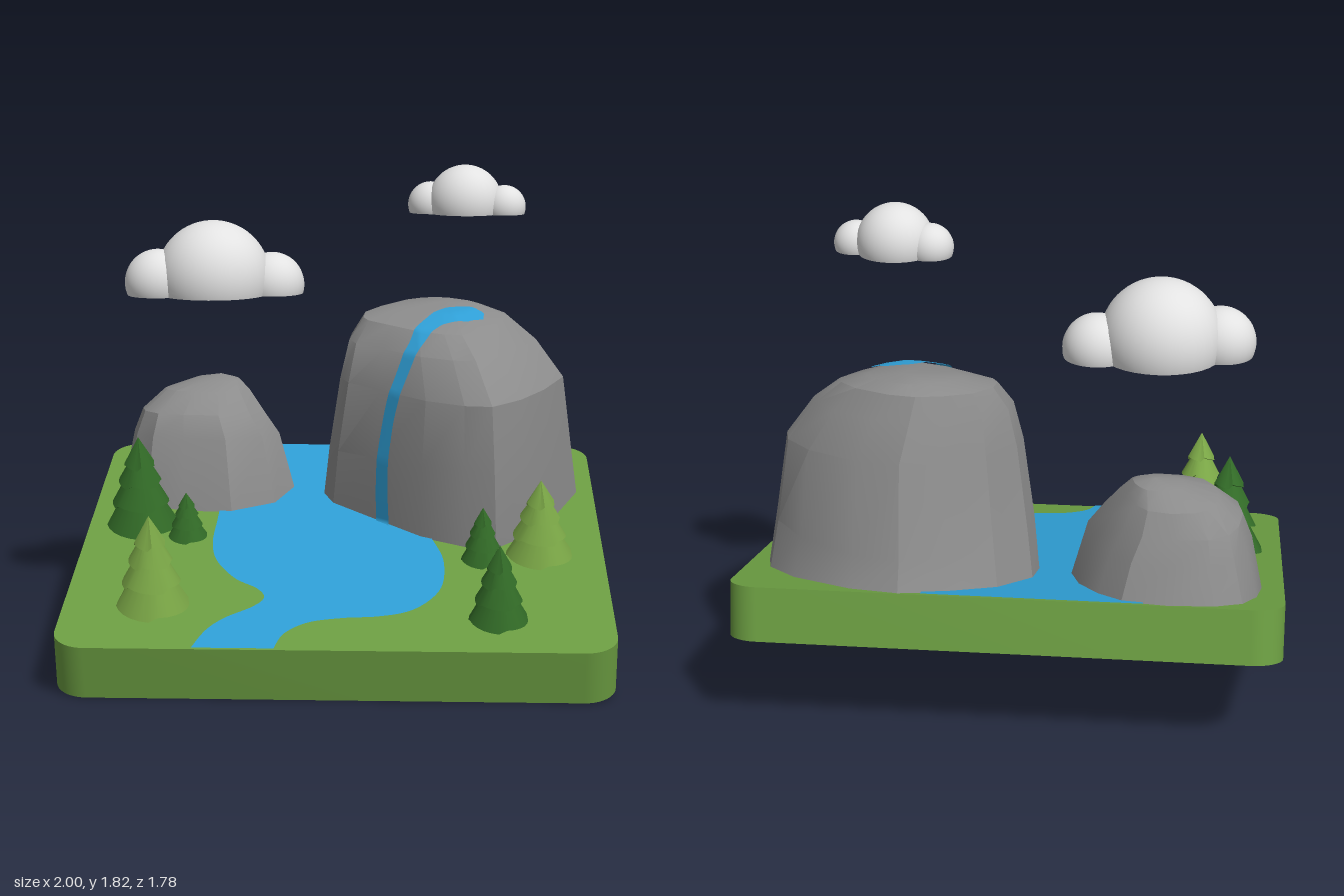
import * as THREE from 'three';
import { toCreasedNormals } from 'three/addons/utils/BufferGeometryUtils.js';

const TILT = 0.216;
const ground = z => 0.395 - z * Math.tan(TILT);
const mat = (name, color, side = THREE.FrontSide) => {
  const m = new THREE.MeshStandardMaterial({ color, side });
  m.name = name;
  return m;
};
const M = {
  grass: mat('grass', 0x6c9e42),
  water: mat('water', 0x2f9fd6, THREE.DoubleSide),
  rock: mat('rock grey', 0x8c8c8c),
  cloud: mat('cloud white', 0xe2e2e2),
  dark: mat('dark foliage', 0x326b27),
  light: mat('light foliage', 0x7aa646),
};
function add(parent, name, geo, material, pos = [0, 0, 0]) {
  const m = new THREE.Mesh(geo, material);
  m.name = name;
  m.position.set(...pos);
  parent.add(m);
  return m;
}

// Sloping slab with rounded corners
function addSlab(g) {
  const w = 1, d = 0.887, r = 0.12, s = new THREE.Shape();
  s.absarc(w - r, d - r, r, 0, Math.PI / 2);
  s.absarc(-w + r, d - r, r, Math.PI / 2, Math.PI);
  s.absarc(-w + r, -d + r, r, Math.PI, Math.PI * 1.5);
  s.absarc(w - r, -d + r, r, Math.PI * 1.5, Math.PI * 2);
  const geo = new THREE.ExtrudeGeometry(s, { depth: 0.2, bevelEnabled: false, curveSegments: 8 });
  geo.translate(0, 0, -0.1).rotateX(-Math.PI / 2);
  add(g, 'groundSlab', toCreasedNormals(geo, 0.6), M.grass, [0, 0.292, 0]).rotation.x = TILT;
}

// River lying on the slope
function addRiver(g) {
  const left = [[-0.5, -0.1], [-0.5, 0.08], [-0.47, 0.23], [-0.39, 0.37], [-0.3, 0.45], [-0.27, 0.52],
    [-0.31, 0.59], [-0.4, 0.67], [-0.46, 0.76], [-0.5, 0.885]];
  const right = [[-0.21, 0.885], [-0.18, 0.78], [-0.1, 0.7], [0.02, 0.665], [0.15, 0.65], [0.26, 0.61],
    [0.34, 0.52], [0.385, 0.4], [0.39, 0.22], [0.36, 0.08], [0.3, -0.1]];
  const v = a => a.map(p => new THREE.Vector2(p[0], -p[1]));
  const s = new THREE.Shape();
  s.moveTo(0.29, 0.84);
  s.lineTo(-0.5, 0.84);
  s.lineTo(-0.5, 0.1);
  s.splineThru(v(left.slice(1)));
  s.lineTo(-0.21, -0.885);
  s.splineThru(v(right.slice(1)));
  const geo = new THREE.ShapeGeometry(s, 30).rotateX(-Math.PI / 2);
  const p = geo.attributes.position;
  for (let i = 0; i < p.count; i++) p.setY(i, ground(p.getZ(i)) + 0.004);
  geo.computeVertexNormals();
  add(g, 'river', geo, M.water);
}

// Boulder: one outline fitted to a box [y, x0, x1, z0, z1, slope] at each level
function boulder(outline, levels, peak) {
  const n = outline.length, box = new THREE.Box2().setFromPoints(outline.map(p => new THREE.Vector2(...p)));
  const pos = [], idx = [];
  levels.forEach(([y, x0, x1, z0, z1, slope = 0]) => outline.forEach(([px, pz]) => {
    const u = (px - box.min.x) / (box.max.x - box.min.x), v = (pz - box.min.y) / (box.max.y - box.min.y);
    const z = z0 + (z1 - z0) * v;
    pos.push(x0 + (x1 - x0) * u, y === null ? ground(z) - 0.01 : y - slope * (v - 0.5), z);
  }));
  pos.push(...peak);
  for (let k = 0; k < levels.length; k++) for (let i = 0; i < n; i++) {
    const a = k * n + i, b = k * n + (i + 1) % n;
    if (k === levels.length - 1) idx.push(a, b, levels.length * n);
    else idx.push(a, b, b + n, a, b + n, a + n);
  }
  const geo = new THREE.BufferGeometry();
  geo.setAttribute('position', new THREE.Float32BufferAttribute(pos, 3));
  geo.setIndex(idx);
  return toCreasedNormals(geo, 0.42);
}

// Stream and pool draped over the boulder
function addWaterfall(g, rock) {
  const path = new THREE.CatmullRomCurve3([[0.13, 0.38, -0.08], [0.14, 0.6, -0.07], [0.17, 0.83, -0.05],
    [0.22, 1.0, -0.04], [0.28, 1.13, -0.07], [0.35, 1.21, -0.16], [0.44, 1.24, -0.23], [0.52, 1.25, -0.27],
    [0.55, 1.25, -0.285]].map(p => new THREE.Vector3(...p)));
  const widths = [0.036, 0.031, 0.027, 0.027, 0.03, 0.045, 0.08, 0.065, 0.008];
  const ray = new THREE.Raycaster(), N = 90, C = 6, pos = [], idx = [];
  for (let i = 0; i <= N; i++) {
    const t = i / N, f = t * (widths.length - 1), k = Math.min(Math.floor(f), widths.length - 2);
    const half = THREE.MathUtils.lerp(widths[k], widths[k + 1], f - k);
    const p = path.getPoint(t), aim = new THREE.Vector3(0.42, Math.min(p.y, 0.85), -0.35);
    const side = path.getTangent(t).cross(p.clone().sub(aim)).normalize();
    for (let j = 0; j <= C; j++) {
      const q = p.clone().addScaledVector(side, half * (2 * j / C - 1));
      const out = q.clone().sub(aim).normalize();
      ray.set(aim.clone().addScaledVector(out, 3), out.clone().negate());
      const hit = ray.intersectObject(rock)[0];
      pos.push(...(hit ? hit.point : q).clone().addScaledVector(out, 0.008).toArray());
      if (i < N && j < C) {
        const a = i * (C + 1) + j, b = a + C + 1;
        idx.push(a, a + 1, b, a + 1, b + 1, b);
      }
    }
  }
  const geo = new THREE.BufferGeometry();
  geo.setAttribute('position', new THREE.Float32BufferAttribute(pos, 3));
  geo.setIndex(idx);
  geo.computeVertexNormals();
  // turn the faces outwards if the strip was wound inwards
  if (geo.attributes.normal.getZ(20 * (C + 1)) < 0) {
    geo.setIndex(idx.slice().reverse());
    geo.computeVertexNormals();
  }
  add(g, 'waterfall', geo, M.water);
}

// Conifer: trunk and four skirts with a notched hem
function addTree(g, x, z, h, r, foliage) {
  const tree = new THREE.Group();
  tree.name = 'tree';
  tree.position.set(x, ground(z), z);
  tree.rotation.x = TILT;
  add(tree, 'trunk', new THREE.CylinderGeometry(0.022, 0.022, 0.16 * h, 10), M.rock, [0, 0.07 * h, 0]);
  [[0.07, 0.42, 1, 0.48], [0.31, 0.62, 0.8, 0.34], [0.52, 0.8, 0.6, 0.2], [0.7, 1, 0.42, 0]].forEach(([b, t, rb, rt], k) => {
    const geo = new THREE.CylinderGeometry(rt * r, rb * r, (t - b) * h, 24, 1);
    const p = geo.attributes.position;
    for (let i = 0; i < p.count; i++) {
      const px = p.getX(i), pz = p.getZ(i);
      if (p.getY(i) > 0 || Math.hypot(px, pz) < 0.001) continue;
      const step = Math.round((Math.atan2(pz, px) / Math.PI + 1) * 12) % 24;
      p.setY(i, p.getY(i) + ((step + k * 2) % 6) / 6 * 0.05 * h);
    }
    add(tree, 'foliageTier', toCreasedNormals(geo, 0.7), foliage, [0, (b + t) / 2 * h, 0]);
  });
  g.add(tree);
}

// Cloud: balls [x, y, z, radius] cut flat at the base
function addCloud(g, base, balls) {
  const cloud = new THREE.Group();
  cloud.name = 'cloud';
  for (const [x, y, z, r] of balls) {
    const drop = base - y;
    add(cloud, 'cloudPuff', new THREE.SphereGeometry(r, 32, 20, 0, Math.PI * 2, 0, Math.acos(drop / r)), M.cloud, [x, y, z]);
    add(cloud, 'cloudBase', new THREE.CircleGeometry(Math.sqrt(r * r - drop * drop), 32).rotateX(Math.PI / 2), M.cloud, [x, base, z]);
  }
  g.add(cloud);
}

export function createModel() {
  const g = new THREE.Group();
  g.name = 'mountainIsland';
  addSlab(g);
  addRiver(g);

  // Outlines run anticlockwise seen from above
  const bigOutline = [[0.93, -0.38], [0.9, -0.5], [0.78, -0.65], [0.55, -0.79], [0.37, -0.83], [0.2, -0.78], [0.03, -0.68],
    [-0.08, -0.5], [-0.09, -0.34], [-0.05, -0.25], [0.1, -0.12], [0.3, 0.05], [0.47, 0.13], [0.59, 0.14], [0.72, 0.02], [0.83, -0.15]];
  const big = add(g, 'bigBoulder', boulder(bigOutline, [
    [null, -0.09, 0.935, -0.84, 0.1], [0.68, -0.065, 0.905, -0.79, 0.14], [0.97, -0.02, 0.865, -0.7, 0.135, 0.08],
    [1.12, 0.015, 0.755, -0.64, 0.045, 0.06], [1.205, 0.07, 0.65, -0.6, -0.06, 0.06], [1.245, 0.2, 0.54, -0.54, -0.22, 0.03],
  ], [0.4, 1.26, -0.42]), M.rock);
  big.updateMatrixWorld();
  addWaterfall(g, big);

  const smallOutline = [[-0.21, -0.42], [-0.25, -0.58], [-0.33, -0.72], [-0.42, -0.81], [-0.58, -0.84], [-0.75, -0.82],
    [-0.85, -0.76], [-0.9, -0.65], [-0.92, -0.5], [-0.89, -0.36], [-0.8, -0.25], [-0.65, -0.2], [-0.45, -0.19], [-0.28, -0.27]];
  add(g, 'smallBoulder', boulder(smallOutline, [
    [null, -0.92, -0.21, -0.84, -0.19], [0.71, -0.875, -0.275, -0.79, -0.24, -0.02], [0.8, -0.84, -0.34, -0.75, -0.29, -0.02],
    [0.88, -0.75, -0.4, -0.7, -0.38, -0.02], [0.92, -0.63, -0.44, -0.62, -0.46],
  ], [-0.52, 0.94, -0.54]), M.rock);

  addTree(g, -0.785, -0.02, 0.4, 0.137, M.dark);
  addTree(g, -0.6, 0.05, 0.2, 0.075, M.dark);
  addTree(g, -0.665, 0.625, 0.385, 0.132, M.light);
  addTree(g, 0.58, 0.7, 0.32, 0.106, M.dark);
  addTree(g, 0.75, 0.2, 0.335, 0.125, M.light);
  addTree(g, 0.535, 0.23, 0.235, 0.08, M.dark);

  addCloud(g, 1.305, [[-0.52, 1.37, -0.26, 0.225], [-0.735, 1.355, -0.225, 0.13], [-0.29, 1.34, -0.295, 0.127]]);
  addCloud(g, 1.635, [[0.465, 1.678, -0.16, 0.143], [0.333, 1.668, -0.185, 0.087], [0.615, 1.663, -0.135, 0.082]]);
  return g;
}
